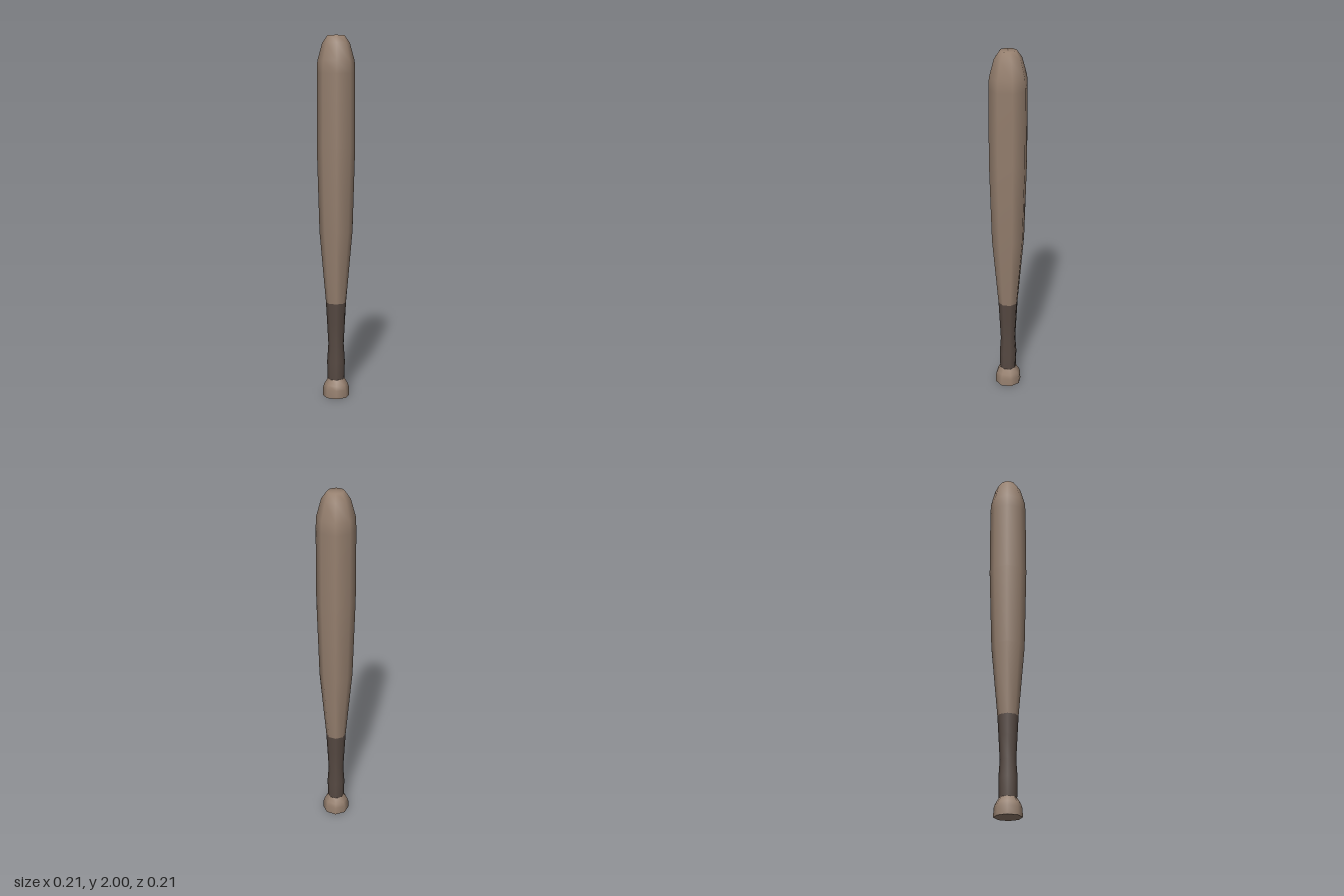
import * as THREE from 'three';

const SIDES = 8;

export function createModel() {
  const group = new THREE.Group();
  group.name = 'bat';
  const wood = new THREE.MeshStandardMaterial({ color: 0x96806f });
  const wrap = new THREE.MeshStandardMaterial({ color: 0x574a43 });

  // Smooth eight-sided turned part from [radius, height] pairs, bottom to top
  function turned(name, profile, material) {
    const points = profile.map(([r, y]) => new THREE.Vector2(r, y));
    const mesh = new THREE.Mesh(new THREE.LatheGeometry(points, SIDES), material);
    mesh.name = name;
    group.add(mesh);
  }

  // Knob, with a hard-edged flat base
  turned('knobBase', [[0, 0], [0.075, 0]], wood);
  turned('knob', [[0.075, 0], [0.074, 0.045], [0.066, 0.07], [0.047, 0.1]], wood);

  // Dark wrapped grip, slightly waisted
  turned('grip', [[0.047, 0.1], [0.05, 0.2], [0.043, 0.3], [0.05, 0.43], [0.056, 0.54]], wrap);

  // Tapered barrel with a rounded tip
  turned('barrel', [
    [0.056, 0.54], [0.091, 0.94], [0.104, 1.4], [0.103, 1.8],
    [0.1, 1.865], [0.074, 1.96], [0.045, 2], [0, 2],
  ], wood);

  return group;
}
